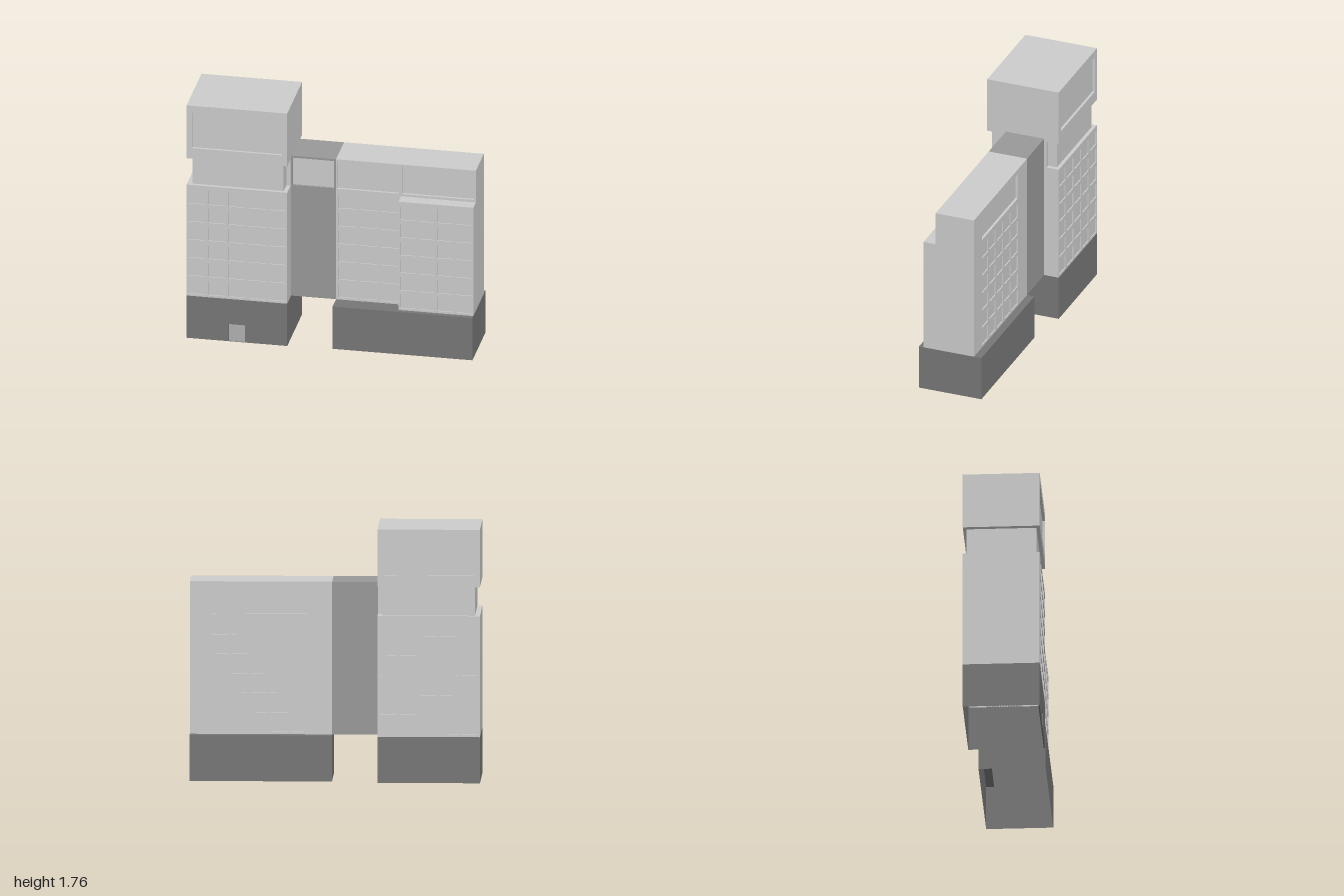
import * as THREE from 'three';

const light = new THREE.MeshStandardMaterial({ color: 0xcccccc, side: THREE.DoubleSide });
const mid = new THREE.MeshStandardMaterial({ color: 0x989898, side: THREE.DoubleSide });
const dark = new THREE.MeshStandardMaterial({ color: 0x767676, side: THREE.DoubleSide });
const doorGrey = new THREE.MeshStandardMaterial({ color: 0xb0b0b0, side: THREE.DoubleSide });

// Box between two corners; skip lists sides left open (0 +x, 1 -x, 2 top, 3 bottom, 4 front, 5 back)
function box(name, [x0, x1], [y0, y1], [z0, z1], mat, skip = []) {
  const geo = new THREE.BoxGeometry(x1 - x0, y1 - y0, z1 - z0);
  geo.translate((x0 + x1) / 2, (y0 + y1) / 2, (z0 + z1) / 2);
  const index = Array.from(geo.index.array);
  geo.setIndex(index.filter((_, i) => !skip.includes(Math.floor(i / 6))));
  geo.clearGroups();
  const mesh = new THREE.Mesh(geo, mat);
  mesh.name = name;
  return mesh;
}

const rect = (Type, [x0, x1], [y0, y1]) => new Type([
  new THREE.Vector2(x0, y0), new THREE.Vector2(x1, y0),
  new THREE.Vector2(x1, y1), new THREE.Vector2(x0, y1),
]);

// Thin wall from z to z + depth, pierced by rectangular openings
function skin(name, xs, ys, z, depth, holes, mat) {
  const shape = rect(THREE.Shape, xs, ys);
  shape.holes = holes.map(([hx, hy]) => rect(THREE.Path, hx, hy));
  const geo = new THREE.ExtrudeGeometry(shape, { depth, bevelEnabled: false });
  geo.translate(0, 0, z);
  const mesh = new THREE.Mesh(geo, mat);
  mesh.name = name;
  return mesh;
}

// Building block: a core with a pierced wall on front and back, so openings read as recesses
function block(name, xs, ys, [z0, z1], depth, front, back, mat, skip = []) {
  const group = new THREE.Group();
  group.name = name;
  group.add(
    box(name + 'Core', xs, ys, [z0 + depth, z1 - depth], mat, skip),
    skin(name + 'Front', xs, ys, z1 - depth, depth, front, mat),
    skin(name + 'Back', xs, ys, z0, depth, back, mat),
  );
  return group;
}

// Grid of window openings, each filling part of its cell
function windows([x0, x1], [y0, y1], cols, rows) {
  const list = [], w = (x1 - x0) / cols, h = (y1 - y0) / rows;
  for (let c = 0; c < cols; c++) {
    for (let r = 0; r < rows; r++) {
      const x = x0 + c * w, y = y0 + r * h;
      list.push([[x + w * 0.09, x + w * 0.91], [y + h * 0.12, y + h * 0.88]]);
    }
  }
  return list;
}

export function createModel() {
  const model = new THREE.Group();
  model.name = 'building';
  const towerX = [-1, -0.295], towerZ = [-0.265, 0.265];
  const wingX = [0.02, 1], wingZ = [-0.157, 0.127];
  const recess = 0.008, panelRecess = 0.018;

  // Tower base, hollow and open below, with a door set into the front
  const doorX = [-0.705, -0.59], doorY = [0.001, 0.13];
  const towerBase = new THREE.Group();
  towerBase.name = 'towerBase';
  towerBase.add(
    box('towerBaseWalls', towerX, [0, 0.32], [-0.265, 0.255], dark, [2, 3, 4]),
    skin('towerBaseFront', towerX, [0, 0.32], 0.255, 0.01, [[doorX, doorY]], dark),
    box('door', doorX, doorY, [0.254, 0.257], doorGrey),
  );
  model.add(towerBase);

  // Tower shaft with a window grid on both faces, neck and overhanging head
  const towerWindows = windows(towerX, [0.32, 1.14], 5, 6);
  const headPanel = [[[-0.96, -0.335], [1.44, 1.705]]];
  model.add(
    block('towerShaft', towerX, [0.32, 1.16], towerZ, recess, towerWindows, towerWindows, light, [3]),
    box('towerNeck', [-0.965, -0.325], [1.16, 1.36], [-0.24, 0.24], light),
    box('neckConnector', [-0.325, -0.295], [1.16, 1.36], [-0.173, 0.143], light),
    block('towerHead', towerX, [1.36, 1.76], towerZ, panelRecess, headPanel, headPanel, light),
  );

  // Bridge between tower and wing, with one pale panel in front
  const bridgePanel = [[-0.285, 0.005], [1.158, 1.365]];
  model.add(
    block('bridge', [-0.295, 0.02], [0.32, 1.38], wingZ, panelRecess, [bridgePanel], [], mid),
    box('bridgePanel', ...bridgePanel, [0.108, 0.111], light),
  );

  // Wing base, open below
  model.add(box('wingBase', wingX, [0, 0.32], [-0.212, 0.25], dark, [3]));

  // Wing: windowed lower floors, panelled top floor, and a projecting bay
  const bayX = [0.475, 1];
  const topPanels = [[[0.03, 0.46], [1.158, 1.365]], [[0.485, 0.988], [1.158, 1.365]]];
  const backPanel = [[[0.192, 0.85], [1.155, 1.345]]];
  model.add(
    block('wingFloors', wingX, [0.32, 1.14], wingZ, recess,
      windows([0.025, 0.47], [0.32, 1.13], 3, 6),
      windows([0.18, 0.862], [0.32, 1.13], 5, 6), light),
    block('wingTop', wingX, [1.14, 1.38], wingZ, panelRecess, topPanels, backPanel, light),
    block('wingBay', bayX, [0.32, 1.14], [0.1, 0.217], recess,
      windows(bayX, [0.32, 1.12], 4, 6), [], light),
  );
  return model;
}
